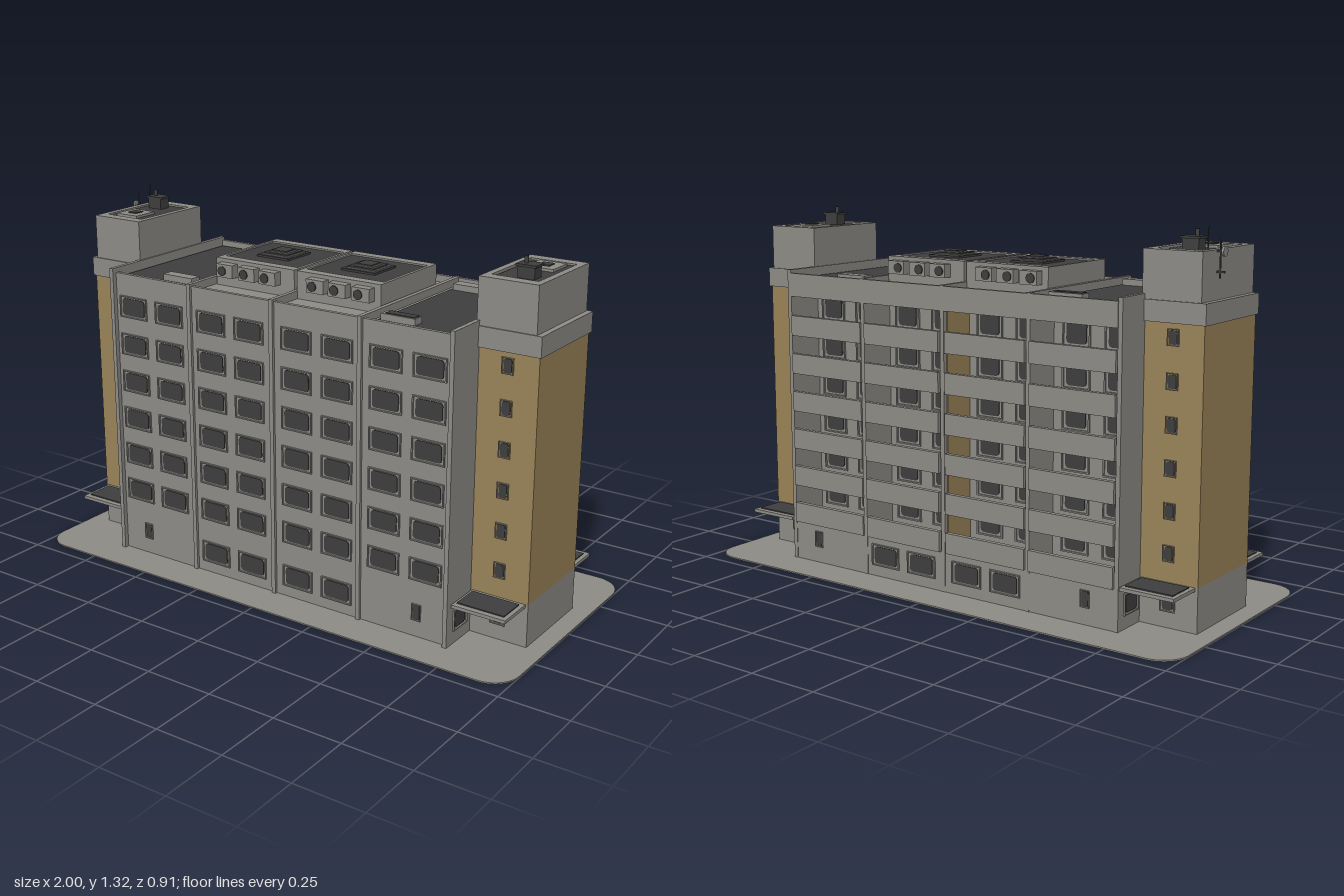
import * as THREE from 'three';

const mat = (name, color) => Object.assign(new THREE.MeshStandardMaterial({ color }), { name });

export function createModel() {
  const concrete = mat('concrete grey', 0x8f8d88);
  const dark = mat('dark glass and roofing', 0x3f3f3f);
  const tan = mat('tan cladding', 0x9c8559);
  const model = new THREE.Group();
  model.name = 'apartmentBlock';

  const add = (name, geo, m, parent = model) => {
    const mesh = new THREE.Mesh(geo, m);
    mesh.name = name;
    parent.add(mesh);
    return mesh;
  };
  // Box given by its limits on each axis
  const box = (name, m, x0, x1, y0, y1, z0, z1, parent) => {
    const mesh = add(name, new THREE.BoxGeometry(Math.abs(x1 - x0), y1 - y0, Math.abs(z1 - z0)), m, parent);
    mesh.position.set((x0 + x1) / 2, (y0 + y1) / 2, (z0 + z1) / 2);
    return mesh;
  };
  const roundRect = (w, h, r) => {
    const s = new THREE.Shape(), a = w / 2, b = h / 2;
    s.moveTo(-a + r, -b);
    s.lineTo(a - r, -b);
    s.absarc(a - r, -b + r, r, -Math.PI / 2, 0);
    s.absarc(a - r, b - r, r, 0, Math.PI / 2);
    s.absarc(-a + r, b - r, r, Math.PI / 2, Math.PI);
    s.absarc(-a + r, -b + r, r, Math.PI, Math.PI * 1.5);
    return s;
  };
  const rect = (w, h) => new THREE.Shape([[-1, -1], [1, -1], [1, 1], [-1, 1]]
    .map(([x, y]) => new THREE.Vector2(x * w / 2, y * h / 2)));
  const extrude = (shape, depth, curveSegments = 3) =>
    new THREE.ExtrudeGeometry(shape, { depth, bevelEnabled: false, curveSegments });

  // Window: raised frame round a thin rounded pane, facing the direction of turn
  const windowAt = (x, y, z, w, h, turn = 0) => {
    const g = new THREE.Group(), t = Math.min(w, h) * 0.1;
    g.name = 'window';
    const frame = rect(w, h);
    frame.holes.push(rect(w - t, h - t));
    add('windowFrame', extrude(frame, 0.006), concrete, g);
    add('windowPane', extrude(roundRect(w - 3 * t, h - 2.2 * t, t * 1.4), 0.003), dark, g);
    g.position.set(x, y, z);
    g.rotation.y = turn;
    model.add(g);
  };

  // Ground slab
  const base = add('groundSlab', extrude(roundRect(2, 0.91, 0.1), 0.005, 8), concrete);
  base.rotation.x = -Math.PI / 2;

  // Main block, with the rear left open for balconies
  const storeys = [0, 1, 2, 3, 4, 5].map(i => 0.252 + i * 0.1415);
  const bays = [0.1, 0.265, 0.455, 0.62];
  box('mainBlock', concrete, -0.7, 0.7, 0.005, 1.06, -0.17, 0.315);
  box('rearGroundFloor', concrete, -0.7, 0.7, 0.005, 0.15, -0.31, -0.17);
  box('frontParapet', concrete, -0.7, 0.7, 1.06, 1.08, 0.3, 0.315);
  box('rearParapet', concrete, -0.7, 0.7, 1.0, 1.085, -0.315, -0.3);
  box('rearRoofSlab', concrete, -0.7, 0.7, 1.03, 1.06, -0.3, -0.17);
  for (const y of storeys) {
    box('balconyFloor', concrete, -0.7, 0.7, y - 0.102, y - 0.09, -0.3, -0.17);
    for (const x of [-0.53, -0.18, 0.18, 0.53])
      box('balconyParapet', concrete, x - 0.166, x + 0.166, y - 0.104, y - 0.03, -0.318, -0.3);
  }
  // Dividing fins from ground to roof
  for (const x of [-0.707, -0.357, 0, 0.357, 0.707]) {
    const end = Math.abs(x) > 0.7;
    box('wallFin', concrete, x - 0.008, x + 0.008, 0.005, end ? 1.097 : 1.088, -0.312, end ? 0.332 : 0.325);
  }
  for (const s of [-1, 1])
    box('balconyDivider', tan, s * 0.0082, s * 0.012, 0.16, 1.03, -0.296, -0.17);

  // Windows of the main block
  for (const s of [-1, 1]) {
    for (const bx of bays) {
      for (const y of storeys) {
        windowAt(s * bx, y, 0.315, 0.125, 0.08);
        windowAt(s * bx, y - 0.01, -0.17, 0.11, 0.1, Math.PI);
      }
    }
    for (const [z, turn] of [[0.315, 0], [-0.31, Math.PI]]) {
      for (const bx of [0.1, 0.265]) windowAt(s * bx, 0.085, z, 0.125, 0.08, turn);
      windowAt(s * 0.588, 0.095, z, 0.035, 0.06, turn);
    }
    for (const z of [0.247, -0.233])
      windowAt(s * 0.715, 0.09, z, 0.09, 0.075, s * Math.PI / 2);
  }

  // Main roof surfaces and skylights
  for (const s of [-1, 1]) {
    box('sideRoof', dark, s * 0.385, s * 0.69, 1.06, 1.066, -0.29, 0.3);
    for (const z of [-0.23, 0.235]) {
      const glazed = s * z > 0;
      box('skylight', concrete, s * 0.395, s * 0.525, 1.066, 1.088, z - 0.022, z + 0.022);
      if (glazed) box('skylightTop', dark, s * 0.41, s * 0.52, 1.088, 1.091, z - 0.016, z + 0.016);
    }
  }

  // Roof plant room in two halves, with vents and fan units
  for (const s of [-1, 1]) {
    box('plantRoom', concrete, s * 0.006, s * 0.345, 1.06, 1.15, -0.178, 0.178);
    const rim = rect(0.339, 0.356);
    rim.holes.push(rect(0.315, 0.28));
    const r = add('plantRoomRim', extrude(rim, 0.008), concrete);
    r.rotation.x = -Math.PI / 2;
    r.position.set(s * 0.1755, 1.15, 0);
    box('plantRoomRoof', dark, s * 0.02, s * 0.331, 1.15, 1.153, -0.138, 0.138);
    const cx = s * 0.18;
    [[0.068, 1.16, dark], [0.056, 1.163, concrete], [0.05, 1.168, dark],
      [0.036, 1.17, concrete], [0.03, 1.175, dark]].forEach(([h, top, m]) =>
      box('roofVent', m, cx - h, cx + h, 1.15, top, -h, h));
    for (const x of [0.1, 0.19, 0.285]) {
      for (const f of [-1, 1]) {
        box('fanUnit', concrete, s * x - 0.035, s * x + 0.035, 1.098, 1.145, f * 0.178, f * 0.21);
        const fan = add('fan', new THREE.CylinderGeometry(0.017, 0.017, 0.006, 14), dark);
        fan.rotation.x = Math.PI / 2;
        fan.position.set(s * x - 0.01, 1.121, f * 0.211);
      }
    }
  }

  // End towers
  for (const s of [-1, 1]) {
    box('towerBase', concrete, s * 0.7, s * 0.93, 0.005, 0.16, -0.175, 0.175);
    box('towerShaft', tan, s * 0.71, s * 0.93, 0.16, 1.01, -0.175, 0.175);
    box('towerCollar', concrete, s * 0.712, s * 0.937, 1.01, 1.08, -0.182, 0.182);
    box('towerHead', concrete, s * 0.705, s * 0.917, 1.06, 1.23, -0.177, 0.177);
    const rim = rect(0.212, 0.354);
    rim.holes.push(rect(0.165, 0.27));
    const r = add('towerRim', extrude(rim, 0.01), concrete);
    r.rotation.x = -Math.PI / 2;
    r.position.set(s * 0.811, 1.23, 0);
    box('towerRoof', dark, s * 0.735, s * 0.9, 1.23, 1.234, -0.138, 0.138);

    for (const f of [-1, 1]) {
      const turn = f > 0 ? 0 : Math.PI;
      for (const y of storeys) windowAt(s * 0.82, y + 0.005, f * 0.175, 0.042, 0.055, turn);
      windowAt(s * 0.82, 0.093, f * 0.175, 0.055, 0.065, turn);
      // Entrance canopy
      box('canopy', concrete, s * 0.72, s * 0.92, 0.148, 0.16, f * 0.17, f * 0.315);
      box('canopyTop', dark, s * 0.73, s * 0.905, 0.16, 0.164, f * 0.19, f * 0.295);
    }

    // Roof hatch and dark extractor at opposite ends of each tower
    const hz = -s * 0.065, ez = s * 0.085, ex = s * 0.835;
    box('roofHatch', concrete, s * 0.77, s * 0.868, 1.23, 1.243, hz - 0.05, hz + 0.05);
    box('roofHatchLid', dark, s * 0.8, s * 0.838, 1.243, 1.247, hz - 0.019, hz + 0.019);
    box('extractor', dark, ex - 0.03, ex + 0.03, 1.23, 1.272, ez - 0.023, ez + 0.023);
    box('extractorCap', dark, ex - 0.036, ex + 0.036, 1.272, 1.28, ez - 0.027, ez + 0.027);
    const flue = add('extractorFlue', new THREE.CylinderGeometry(0.007, 0.007, 0.03, 10), dark);
    flue.position.set(ex - 0.012, 1.288, ez);
  }

  // Antenna on the right tower
  const mast = add('antennaMast', new THREE.CylinderGeometry(0.003, 0.003, 0.13, 8), dark);
  mast.position.set(-0.928, 1.215, -0.08);
  for (const y of [1.17, 1.235])
    box('antennaBracket', dark, -0.945, -0.9, y - 0.003, y + 0.003, -0.083, -0.077);
  const dish = add('antennaDish', new THREE.CylinderGeometry(0.016, 0.016, 0.008, 14), concrete);
  dish.rotation.z = Math.PI / 2;
  dish.position.set(-0.942, 1.235, -0.08);
  const whip = add('antennaWhip', new THREE.CylinderGeometry(0.002, 0.002, 0.08, 6), dark);
  whip.position.set(-0.9, 1.275, -0.112);

  return model;
}
